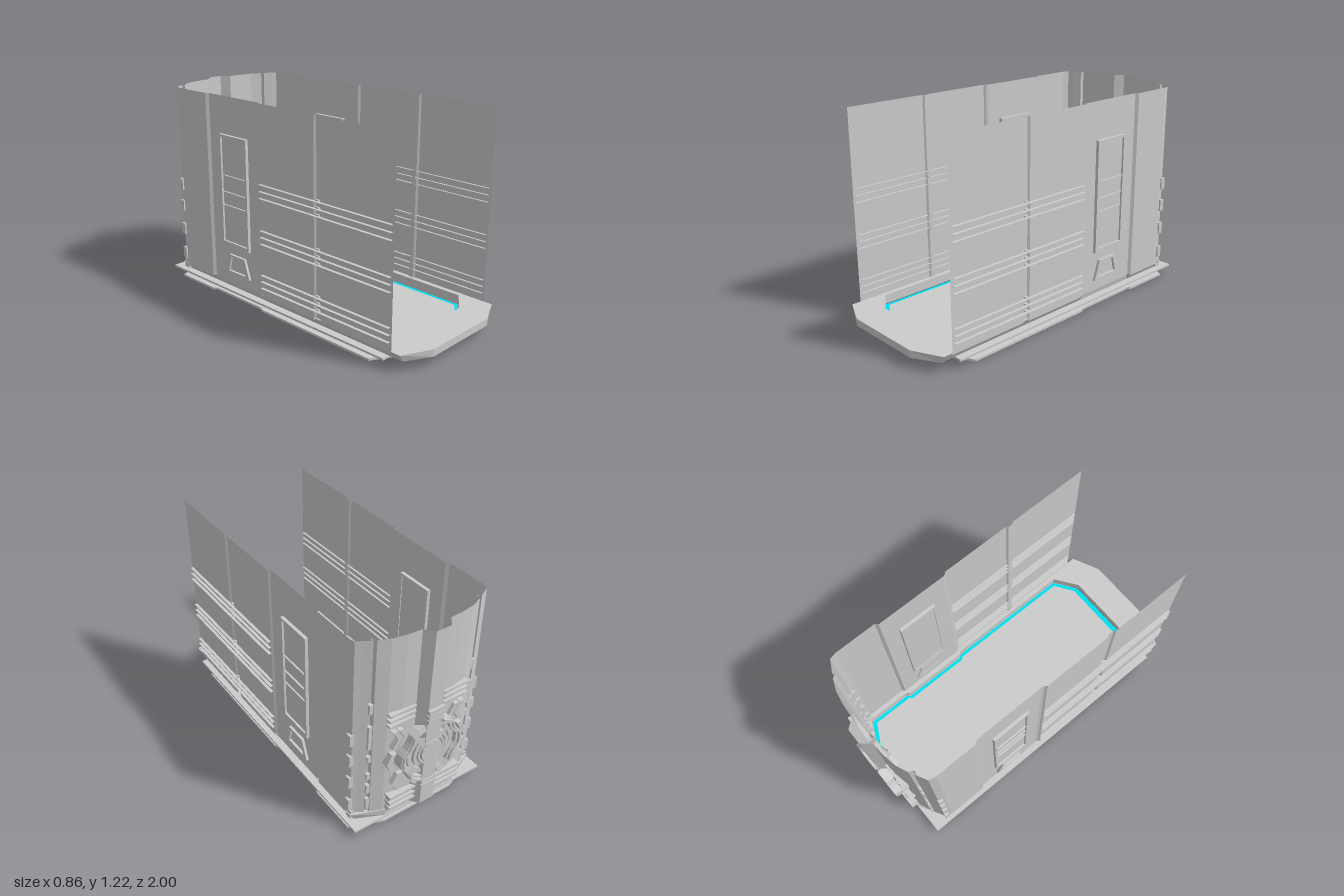
import * as THREE from 'three';

const grey = new THREE.MeshStandardMaterial({ color: 0xcccccc, flatShading: true, side: THREE.DoubleSide });
const cyan = new THREE.MeshStandardMaterial({ color: 0x00e0f0, flatShading: true, side: THREE.DoubleSide });

export function createModel() {
  const root = new THREE.Group();

  const add = (name, geo, mat = grey) => {
    const m = new THREE.Mesh(geo, mat);
    m.name = name;
    root.add(m);
    return m;
  };
  // Adds a part and its mirror image across x = 0
  const pair = (name, geo, mat = grey) => {
    add(name + 'Left', geo, mat);
    add(name + 'Right', geo, mat).scale.x = -1;
  };
  const box = (x0, x1, y0, y1, z0, z1) =>
    new THREE.BoxGeometry(x1 - x0, y1 - y0, z1 - z0).translate((x0 + x1) / 2, (y0 + y1) / 2, (z0 + z1) / 2);
  const shape = (pts) => new THREE.Shape(pts.map(([a, b]) => new THREE.Vector2(a, b)));
  const extrude = (s, depth) => new THREE.ExtrudeGeometry(s, { depth, bevelEnabled: false });
  // Horizontal slab from an [x, z] outline with an optional hole
  const slab = (pts, y0, y1, hole) => {
    const flip = (p) => p.map(([x, z]) => [x, -z]);
    const s = shape(flip(pts));
    if (hole) s.holes.push(shape(flip(hole)));
    return extrude(s, y1 - y0).rotateX(-Math.PI / 2).translate(0, y0, 0);
  };
  // Plate facing z
  const relief = (pts, z0, z1) => extrude(shape(pts), z1 - z0).translate(0, 0, z0);
  // Frame on the side wall from [z, y] outlines
  const sideFrame = (pts, hole, x0, x1) => {
    const flip = (p) => p.map(([z, y]) => [-z, y]);
    const s = shape(flip(pts));
    if (hole) s.holes.push(shape(flip(hole)));
    return extrude(s, x1 - x0).rotateY(Math.PI / 2).translate(x0, 0, 0);
  };
  const mirrored = (half) => [...half, ...half.slice().reverse().map(([x, z]) => [-x, z])];

  // Chamfered outline with a shallow waist along the sides
  const outline = (w, zf, zb, cut = 0.1) => mirrored([
    [0.24, zf], [w, zf - cut], [w, -0.1], [w - 0.015, -0.12],
    [w - 0.015, -0.53], [w, -0.55], [w, zb + 0.07], [0.23, zb],
  ]);
  const inner = outline(0.36, 0.78, -0.875, 0.08);
  const outer = outline(0.38, 0.81, -0.895);

  // Base
  add('bottomPlate', slab(outline(0.42, 0.82, -0.92), 0, 0.013));
  add('floor', slab(inner, 0.013, 0.042));
  add('lightStrip', slab(outer, 0.028, 0.042, inner), cyan);
  const rect = [[0.43, 0.825], [0.43, -0.93], [-0.43, -0.93], [-0.43, 0.825]];
  add('middlePlate', slab(rect, 0.046, 0.058, outer));
  const frame = slab(outline(0.41, 0.995, -0.925, 0.08), 0.058, 0.1, outer);
  const fp = frame.attributes.position;
  for (let i = 0; i < fp.count; i++) // underside draws in
    if (fp.getY(i) < 0.07 && Math.abs(fp.getX(i)) > 0.388) fp.setX(i, Math.sign(fp.getX(i)) * 0.385);
  add('baseFrame', frame);

  // Folded sheet wall, open at the front
  const wallHalf = [
    [0.41, 0.86], [0.41, 0.368], [0.4, 0.358], [0.4, 0.33], [0.41, 0.32],
    [0.41, -0.095], [0.4, -0.105], [0.395, -0.12], [0.395, -0.54], [0.41, -0.555], [0.41, -0.8],
    [0.4, -0.84], [0.37, -0.855], [0.335, -0.875], [0.33, -0.86], [0.315, -0.868], [0.31, -0.888],
    [0.245, -0.915], [0.165, -0.93], [0.085, -0.935], [0.045, -0.985],
  ];
  const path = mirrored(wallHalf);
  const verts = [], faces = [];
  path.forEach(([x, z], i) => {
    verts.push(x, 0.09, z, x, 1.22, z);
    if (i) faces.push(2 * i - 2, 2 * i, 2 * i - 1, 2 * i, 2 * i + 1, 2 * i - 1);
  });
  const wall = new THREE.BufferGeometry();
  wall.setAttribute('position', new THREE.Float32BufferAttribute(verts, 3));
  wall.setIndex(faces);
  wall.computeVertexNormals();
  add('wall', wall);

  // Thin horizontal fins in three groups along the side walls
  for (const top of [0.77, 0.5, 0.23])
    for (let i = 0; i < 3; i++) {
      const y = top - i * 0.04;
      pair('sideFin', box(0.397, 0.428, y - 0.001, y + 0.001, -0.095, 0.85));
      pair('grooveClip', box(0.398, 0.412, y - 0.008, y + 0.008, 0.333, 0.355));
    }

  // Side door with bevelled recess, ticks and a trapezoid step below
  const rectZY = (z0, z1, y0, y1) => [[z0, y0], [z1, y0], [z1, y1], [z0, y1]];
  pair('doorFrame', sideFrame(rectZY(-0.21, -0.445, 0.33, 1.0), rectZY(-0.224, -0.43, 0.355, 0.985), 0.375, 0.414));
  pair('doorPanel', sideFrame(rectZY(-0.224, -0.43, 0.355, 0.985), null, 0.38, 0.402));
  for (const y of [0.58, 0.66, 0.76]) pair('doorFin', box(0.4, 0.412, y - 0.001, y + 0.001, -0.43, -0.224));
  pair('stepFrame', sideFrame([[-0.215, 0.155], [-0.435, 0.155], [-0.39, 0.275], [-0.255, 0.275]],
    [[-0.25, 0.17], [-0.4, 0.17], [-0.375, 0.26], [-0.27, 0.26]], 0.39, 0.41));

  // Rear corner posts with clips and edge tabs
  for (const [y0, y1] of [[0.12, 0.2], [0.24, 0.3], [0.34, 0.38], [0.46, 0.5], [0.55, 0.7], [0.78, 0.84]])
    pair('postClip', box(0.312, 0.333, y0, y1, -0.885, -0.855));
  for (const y of [0.17, 0.33, 0.48, 0.62]) pair('cornerTab', box(0.39, 0.416, y - 0.035, y + 0.035, -0.845, -0.815));
  pair('cornerFoot', box(0.385, 0.405, 0.065, 0.12, -0.85, -0.81));

  // Slats on the rear wall
  for (const y of [0.77, 0.735, 0.7]) pair('rearSlat', box(0.09, 0.25, y - 0.006, y + 0.006, -0.945, -0.91));
  pair('lowerPanel', box(0.06, 0.23, 0.125, 0.215, -0.948, -0.918));
  for (const y of [0.135, 0.17, 0.21]) pair('lowerSlat', box(0.055, 0.235, y - 0.007, y + 0.007, -0.962, -0.91));

  // Chevrons beside the round hatch
  const chevron = (x, y, d) => relief([
    [x, y + 0.057], [x + 0.03, y + 0.057], [x + 0.03 + d, y], [x + 0.03, y - 0.057], [x, y - 0.057], [x + d, y],
  ], -0.95, -0.912);
  pair('upperChevron', chevron(0.2, 0.605, -0.035));
  pair('upperChevronInner', chevron(0.165, 0.605, -0.035));
  pair('middleChevron', chevron(0.2, 0.455, 0.03));
  pair('lowerChevron', chevron(0.155, 0.3, 0.035));

  // Round hatch: notched half rings, concentric bands and a plain hub
  const cy = 0.46;
  const arc = (rIn, rOut, a0, a1, n) => {
    const at = (r, i) => {
      const a = a0 + (a1 - a0) * i / n;
      return [r * Math.cos(a), cy + r * Math.sin(a)];
    };
    const out = [], back = [];
    for (let i = 0; i <= n; i++) {
      const notch = n > 9 && (i % 5 > 2) ? 0.016 : 0;
      out.push(at(rOut - notch, i));
      back.unshift(at(rIn - notch, i));
    }
    return [...out, ...back];
  };
  pair('hatchRing', relief(arc(0.165, 0.195, -1.28, 1.28, 12), -0.985, -0.9));
  pair('hatchRimInner', relief(arc(0.178, 0.19, -1.25, 1.25, 12), -0.998, -0.892));
  pair('hatchBandOuter', relief(arc(0.125, 0.148, -1.2, 0.9, 8), -0.975, -0.905));
  pair('hatchBandMiddle', relief(arc(0.095, 0.115, -0.8, 1.3, 8), -0.982, -0.895));
  pair('hatchBandInner', relief(arc(0.075, 0.088, -1.4, 1.4, 8), -0.985, -0.885));
  const disc = (r, z0, z1, n) => new THREE.CylinderGeometry(r, r, z1 - z0, n)
    .rotateX(Math.PI / 2).translate(0, cy, (z0 + z1) / 2);
  add('hatchPlate', disc(0.168, -0.96, -0.915, 16));
  add('hatchHub', disc(0.068, -0.99, -0.875, 12));

  // Clamps above and below the hatch
  add('upperClamp', box(-0.045, 0.045, 0.66, 0.745, -0.998, -0.91));
  for (const y of [0.675, 0.705, 0.735]) add('clampSlat', box(-0.05, 0.05, y - 0.01, y + 0.01, -1, -0.9));
  for (const x of [-0.02, 0.02]) add('clampPin', box(x - 0.005, x + 0.005, 0.745, 0.757, -0.96, -0.92));
  add('lowerClamp', relief([[-0.045, 0.275], [-0.045, 0.21], [0, 0.19], [0.045, 0.21], [0.045, 0.275]], -0.985, -0.905));
  for (const y of [0.225, 0.25]) add('clampSlat', box(-0.05, 0.05, y - 0.008, y + 0.008, -0.99, -0.9));
  pair('clampWing', relief([[0.045, 0.275], [0.09, 0.25], [0.045, 0.22]], -0.965, -0.915));
  add('rearSkirt', box(-0.23, 0.23, 0.095, 0.125, -0.94, -0.905));

  return root;
}
